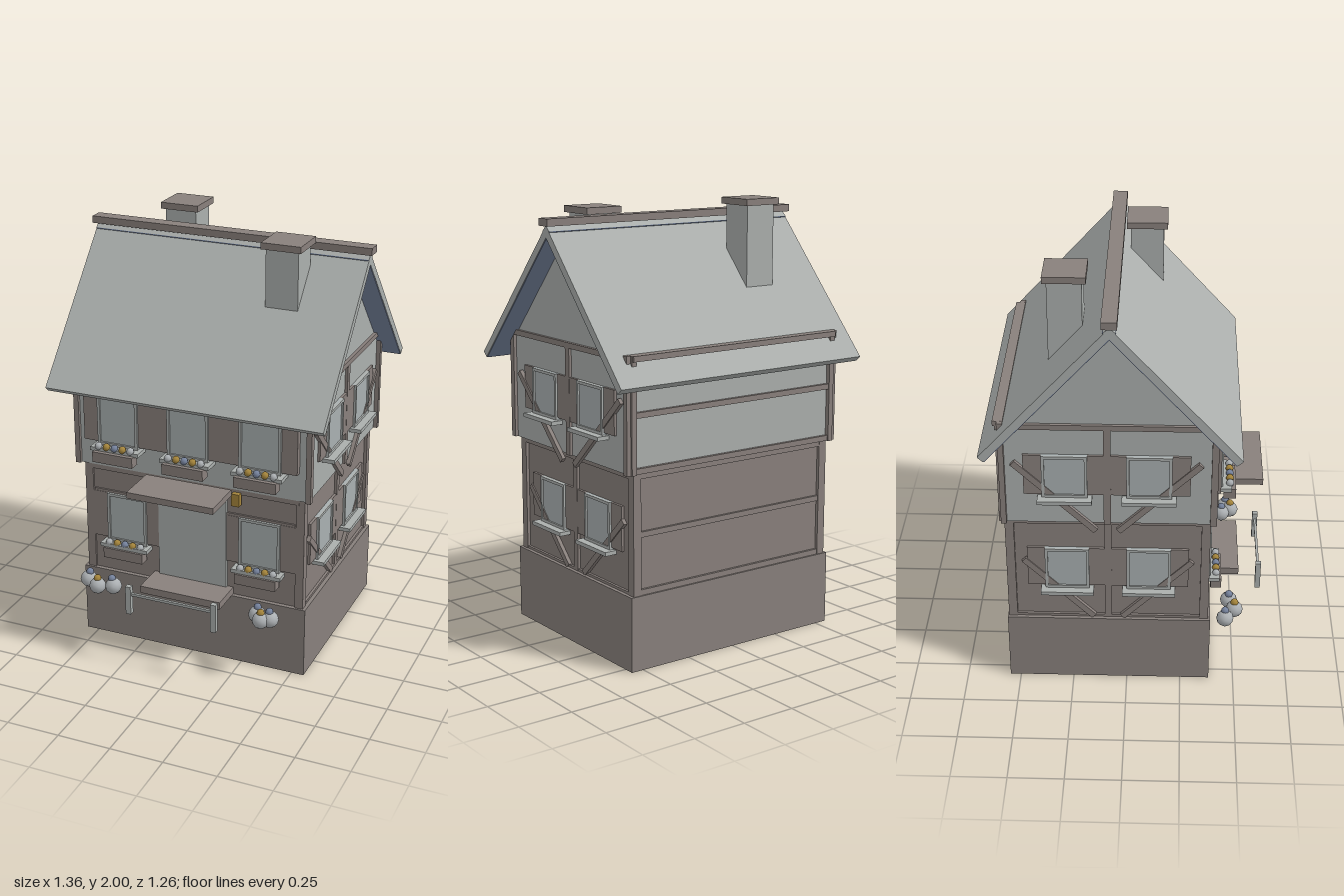
import * as THREE from 'three';

const flat = (name, color, side = THREE.FrontSide) => {
  const m = new THREE.MeshStandardMaterial({ color, side });
  m.name = name;
  return m;
};

export function createModel() {
  const model = new THREE.Group();
  model.name = 'house';
  const brown = flat('timber brown', 0x89807c);
  const stone = flat('foundation brown', 0x88807c, THREE.DoubleSide);
  const light = flat('plaster grey', 0xabafad);
  const glass = flat('window grey', 0xa9b0b1);
  const blue = flat('slate blue', 0x76839d);
  const gold = flat('gold', 0xa5853c);
  const leaf = flat('pale foliage', 0xadb1b4);

  const add = (parent, name, geo, mat, x = 0, y = 0, z = 0) => {
    const m = new THREE.Mesh(geo, mat);
    m.name = name;
    m.position.set(x, y, z);
    parent.add(m);
    return m;
  };
  // box given by its limits on each axis
  const box = (parent, name, mat, x0, x1, y0, y1, z0, z1) =>
    add(parent, name, new THREE.BoxGeometry(x1 - x0, y1 - y0, z1 - z0), mat,
      (x0 + x1) / 2, (y0 + y1) / 2, (z0 + z1) / 2);
  // slanted timber between two points of a facade
  const brace = (parent, u0, v0, u1, v1, depth) => {
    const m = add(parent, 'brace', new THREE.BoxGeometry(Math.hypot(u1 - u0, v1 - v0), 0.028, depth),
      brown, (u0 + u1) / 2, (v0 + v1) / 2, depth / 2);
    m.rotation.z = Math.atan2(v1 - v0, u1 - u0);
  };
  // framed window with shutters and sill, standing on local z = 0
  const addWindow = (parent, u, v0, v1, depth, shutterWidth, sillDepth) => {
    const g = new THREE.Group();
    g.name = 'window';
    g.position.x = u;
    parent.add(g);
    const w = 0.1, f = 0.013;
    box(g, 'pane', glass, -w, w, v0, v1, 0, depth - 0.008);
    for (const s of [-1, 1]) {
      const a = s * w, b = s * (w - f), c = s * (w + shutterWidth);
      box(g, 'frameSide', light, Math.min(a, b), Math.max(a, b), v0, v1, 0, depth);
      box(g, 'shutter', brown, Math.min(a, c), Math.max(a, c), v0 + 0.01, v1, 0, depth - 0.01);
    }
    box(g, 'frameTop', light, -w + f, w - f, v1 - f, v1, 0, depth);
    box(g, 'frameBottom', light, -w + f, w - f, v0, v0 + f, 0, depth);
    box(g, 'sill', light, -0.12, 0.12, v0 - 0.018, v0, 0, sillDepth);
    return g;
  };
  const addPlanter = (g, v, z0, z1) => {
    box(g, 'planter', brown, -0.1, 0.1, v - 0.068, v - 0.018, z0, z1);
    for (let i = 0; i < 5; i++)
      add(g, 'flower', new THREE.SphereGeometry(0.018, 8, 6), i % 2 ? gold : i === 2 ? blue : leaf,
        (i - 2) * 0.04, v + 0.003, (z0 + z1) / 2);
  };

  // foundation, open underneath
  const baseGeo = new THREE.BoxGeometry(1.12, 0.34, 0.935);
  const idx = Array.from(baseGeo.index.array);
  idx.splice(18, 6);
  baseGeo.setIndex(idx);
  baseGeo.clearGroups();
  add(model, 'foundation', baseGeo, stone, 0, 0.17, -0.0825);

  // storeys
  box(model, 'lowerStorey', brown, -0.53, 0.53, 0.34, 0.885, -0.53, 0.365);
  const profile = new THREE.Shape([[-0.385, 0.885], [0.545, 0.885], [0.545, 1.32], [0.065, 1.87], [-0.385, 1.36]]
    .map(p => new THREE.Vector2(...p)));
  const upperGeo = new THREE.ExtrudeGeometry(profile, { depth: 1.13, bevelEnabled: false });
  upperGeo.translate(0, 0, -0.565).rotateY(Math.PI / 2);
  add(model, 'upperStorey', upperGeo, light);

  // roof slabs with blue undersides
  const ridgeZ = -0.066, ridgeY = 1.908, run = 0.567, rise = 0.628;
  for (const s of [-1, 1]) {
    const len = Math.hypot(run, rise);
    const slope = new THREE.Group();
    slope.name = 'roofSlope';
    slope.position.set(0, ridgeY, ridgeZ);
    slope.rotation.y = s > 0 ? 0 : Math.PI;
    model.add(slope);
    const tilt = new THREE.Group();
    tilt.name = 'roofSlab';
    tilt.rotation.x = Math.atan2(rise, run);
    slope.add(tilt);
    box(tilt, 'roofing', light, -0.665, 0.665, -0.034, 0, 0, len);
    box(tilt, 'roofUnderside', blue, -0.663, 0.663, -0.038, -0.034, 0, len - 0.002);
  }
  box(model, 'ridgeCap', brown, -0.68, 0.68, 1.907, 1.94, -0.1, -0.033);

  // chimneys
  for (const [x, z, top] of [[0.332, 0.07, 1.94], [-0.302, -0.267, 1.97]]) {
    box(model, 'chimney', light, x - 0.076, x + 0.076, 1.55, top, z - 0.075, z + 0.075);
    box(model, 'chimneyCap', brown, x - 0.093, x + 0.093, top, top + 0.03, z - 0.093, z + 0.093);
  }

  // corner posts and back beams
  for (const s of [-1, 1]) {
    const post = (a, b, ...r) => box(model, 'cornerPost', brown, Math.min(s * a, s * b), Math.max(s * a, s * b), ...r);
    post(0.555, 0.58, 0.885, 1.375, 0.37, 0.4);
    post(0.563, 0.585, 0.885, 1.4, -0.555, -0.53);
    post(0.54, 0.565, 0.885, 1.4, -0.565, -0.54);
    post(0.505, 0.545, 0.34, 0.885, 0.335, 0.375);
    post(0.505, 0.545, 0.34, 0.885, -0.545, -0.505);
  }
  for (const [y, w, z] of [[1.375, 0.562, -0.575], [1.13, 0.555, -0.56], [0.887, 0.555, -0.56],
    [0.86, 0.53, -0.542], [0.6, 0.53, -0.542], [0.34, 0.53, -0.542]])
    box(model, 'backBeam', brown, -w, w, y, y + 0.025, z, z + 0.045);

  // side facades
  for (const s of [-1, 1]) {
    for (const [wall, y0, y1, v0, v1, upper] of [[0.565, 0.885, 1.395, 1.03, 1.24, true], [0.53, 0.34, 0.885, 0.51, 0.725, false]]) {
      const g = new THREE.Group();
      g.name = upper ? 'upperSide' : 'lowerSide';
      g.position.x = s * wall;
      g.rotation.y = s * Math.PI / 2;
      model.add(g);
      const U = z => -z * s;
      const bar = (za, zb, a, b, d) =>
        box(g, 'timber', brown, Math.min(U(za), U(zb)), Math.max(U(za), U(zb)), a, b, 0, d);
      bar(-0.1, -0.068, y0, y1, 0.013);
      bar(-0.53, 0.37, y1 - 0.025, y1, 0.015);
      if (!upper) bar(-0.53, 0.37, 0.34, 0.352, 0.012);
      for (const z of [0.1, -0.27]) addWindow(g, U(z), v0, v1, 0.022, 0.08, 0.058);
      const [top, low, far, near] = upper ? [1.2, 0.85, 0.245, -0.12] : [0.66, 0.345, 0.21, -0.1];
      const c = -0.085, half = upper ? 0.41 : 0.38, inner = upper ? 0.05 : 0.065;
      for (const d of [-1, 1]) brace(g, U(c + d * half), top, U(c + d * inner), low, 0.018);
    }
  }

  // front facade
  const upperFront = new THREE.Group();
  upperFront.name = 'upperFront';
  upperFront.position.z = 0.385;
  model.add(upperFront);
  for (const x of [-0.347, 0, 0.347])
    addPlanter(addWindow(upperFront, x, 1.01, 1.255, 0.04, 0.0735, 0.08), 1.013, 0.045, 0.1);

  const lowerFront = new THREE.Group();
  lowerFront.name = 'lowerFront';
  lowerFront.position.z = 0.365;
  model.add(lowerFront);
  for (const x of [-0.332, 0.332])
    addPlanter(addWindow(lowerFront, x, 0.503, 0.745, 0.02, 0.075, 0.06), 0.503, 0.02, 0.07);
  box(lowerFront, 'frontBeam', brown, -0.52, 0.52, 0.86, 0.885, 0, 0.015);
  box(lowerFront, 'frontBeam', brown, -0.5, 0.5, 0.745, 0.757, 0, 0.008);
  box(lowerFront, 'door', light, -0.17, 0.17, 0.375, 0.84, 0, 0.014);
  box(lowerFront, 'lantern', gold, 0.205, 0.243, 0.81, 0.87, 0.01, 0.04);

  // entrance canopy, step and railing
  box(model, 'canopy', brown, -0.21, 0.21, 0.865, 0.895, 0.415, 0.62);
  box(model, 'step', brown, -0.2, 0.2, 0.34, 0.375, 0.365, 0.525);
  for (const s of [-1, 1])
    box(model, 'railPost', light, s * 0.211 - 0.013, s * 0.211 + 0.013, 0.28, 0.42, 0.605, 0.63);
  box(model, 'rail', light, -0.2, 0.2, 0.374, 0.387, 0.612, 0.624);

  // flowering bushes
  for (const [x, step] of [[-0.435, 0.07], [0.39, 0.036]]) {
    for (let i = -1; i <= 1; i++) {
      const z = 0.5 - Math.abs(i) * 0.035 + i * 0.01;
      const b = add(model, 'bush', new THREE.IcosahedronGeometry(0.04, 1), leaf, x + i * step, 0.315, z);
      b.rotation.y = i;
      add(model, 'bushFlower', new THREE.SphereGeometry(0.019, 8, 6), i ? blue : gold,
        x + i * step * 0.9, 0.352, z);
    }
  }
  return model;
}
